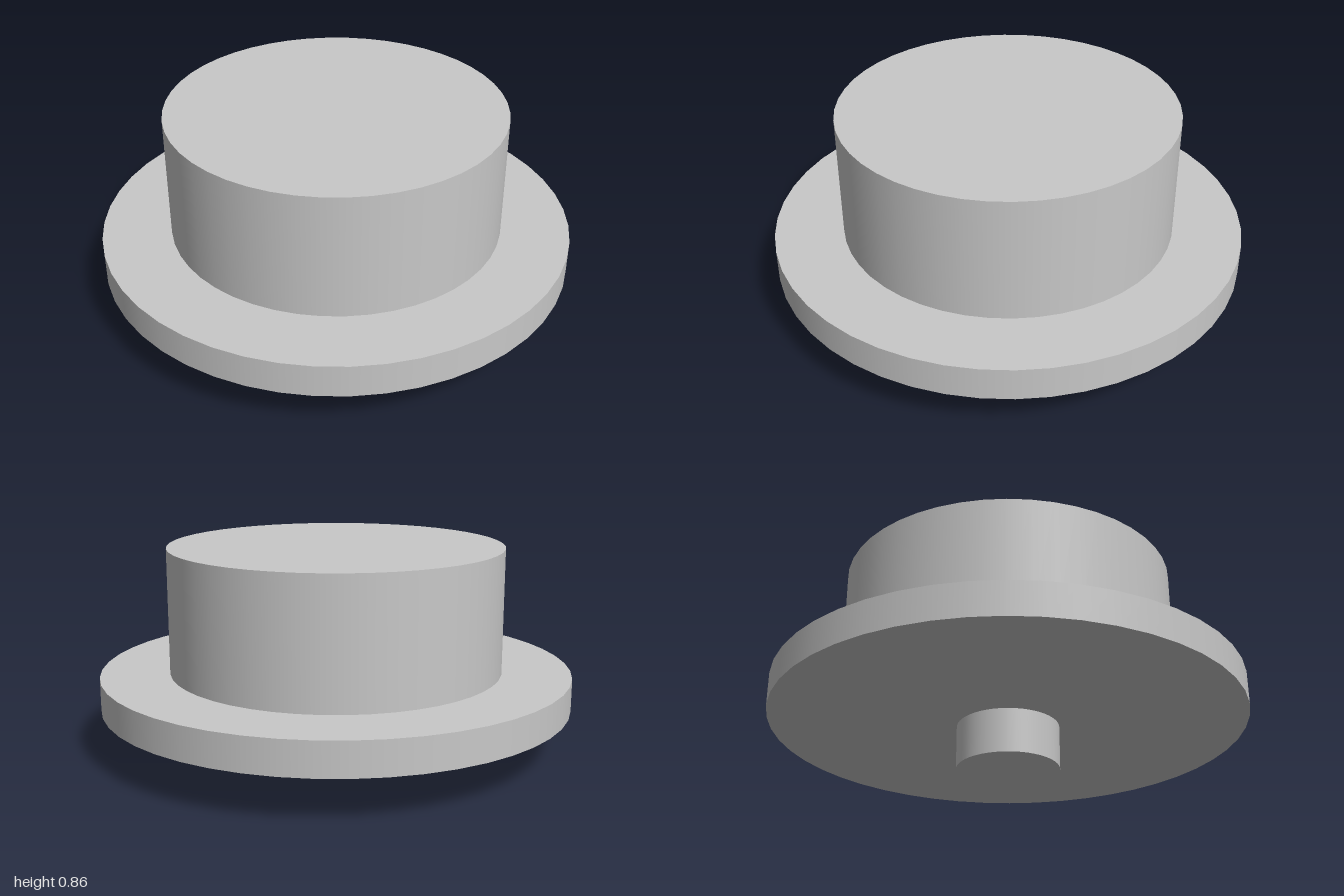
import * as THREE from 'three';

export function createModel() {
  const group = new THREE.Group();
  const grey = new THREE.MeshStandardMaterial({ color: 0xc8c8c8 });
  grey.name = 'light grey';

  // Upright disc spanning y0 to y1
  const disc = (name, radius, y0, y1) => {
    const mesh = new THREE.Mesh(new THREE.CylinderGeometry(radius, radius, y1 - y0, 48), grey);
    mesh.name = name;
    mesh.position.y = (y0 + y1) / 2;
    group.add(mesh);
  };

  disc('bottomPin', 0.216, 0, 0.187);
  disc('flange', 1, 0.187, 0.327);
  disc('drum', 0.709, 0.327, 0.857);

  return group;
}
